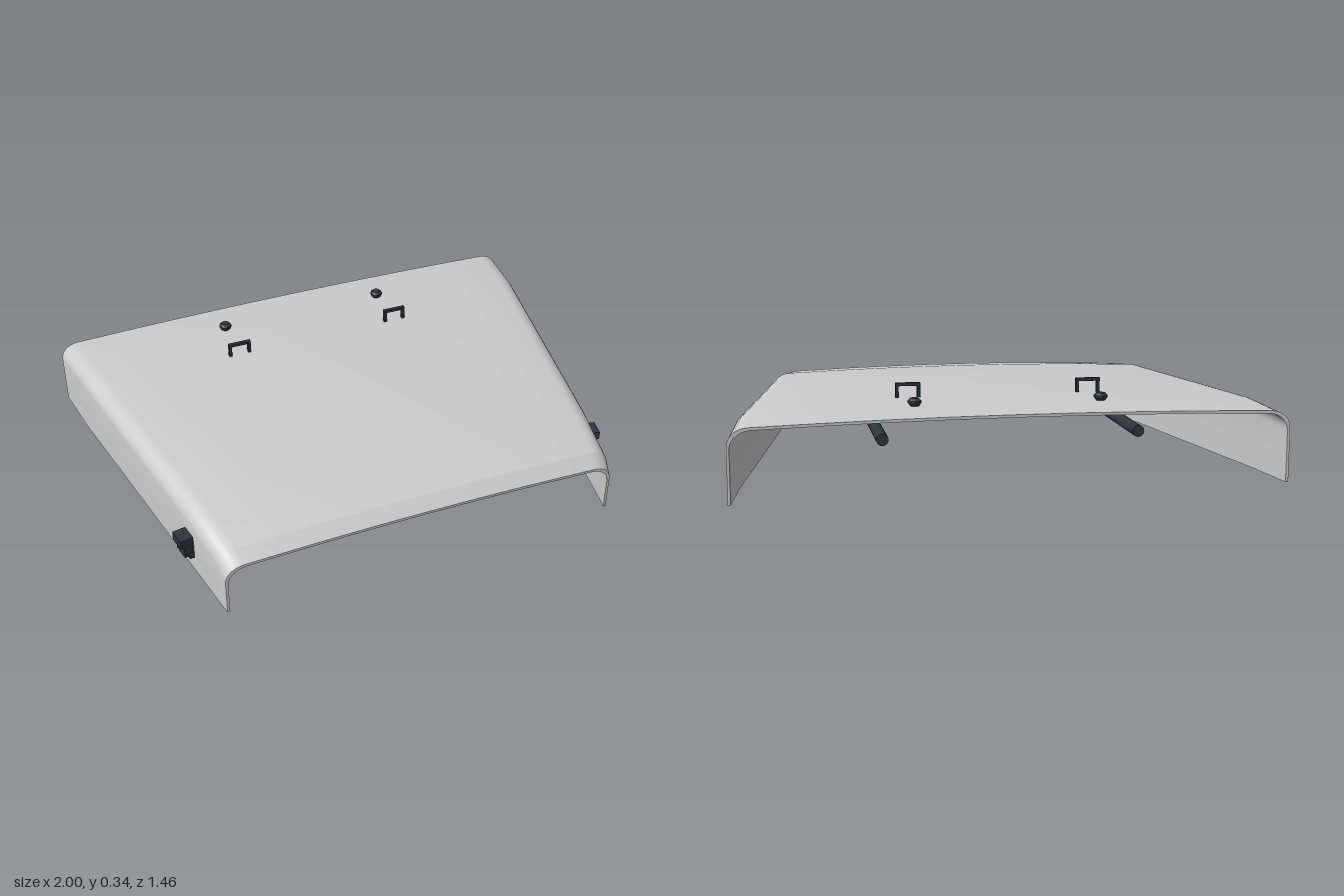
import * as THREE from 'three';
import { toCreasedNormals } from 'three/addons/utils/BufferGeometryUtils.js';

const shellMat = new THREE.MeshStandardMaterial({ color: 0xcccccc, side: THREE.DoubleSide });
const darkMat = new THREE.MeshStandardMaterial({ color: 0x2e363a });

// Stations front to back: [z, half width, crown height]
const STATIONS = [
  [0.73, 0.76, 0.218], [0.68, 0.77, 0.257], [0.43, 0.812, 0.286],
  [0, 0.885, 0.29], [-0.5, 0.97, 0.295], [-0.73, 1.0, 0.28],
];
const THICK = 0.01;

// Arch profile from the +x foot, over the roof, to the -x foot
function archProfile(w, crown) {
  const half = [[w, 0], [w, crown * 0.35]];
  const rx = 0.075, ry = 0.065, shoulder = crown - 0.015;
  for (let i = 0; i <= 7; i++) {
    const a = (i / 7) * (Math.PI / 2 - 0.05);
    half.push([w - rx + rx * Math.cos(a), shoulder - ry + ry * Math.sin(a)]);
  }
  for (const t of [0.75, 0.5, 0.25]) {
    half.push([(w - rx) * t, crown - 0.015 * t * t]);
  }
  const mirrored = half.map(([x, y]) => [-x, y]).reverse();
  return [...half, [0, crown], ...mirrored];
}

function shellGeometry() {
  const pos = [], idx = [];
  let n = 0;
  for (const [z, w, crown] of STATIONS) {
    const outer = archProfile(w, crown);
    const inner = archProfile(w - THICK, crown - THICK).reverse();
    n = outer.length;
    for (const [x, y] of [...outer, ...inner]) pos.push(x, y, z);
  }
  const loop = 2 * n, last = (STATIONS.length - 1) * loop;
  // Outer skin, inner skin and feet
  for (let i = 0; i < STATIONS.length - 1; i++) {
    for (let j = 0; j < loop; j++) {
      const k = (j + 1) % loop;
      const a = i * loop + j, b = i * loop + k, c = b + loop, d = a + loop;
      idx.push(a, d, c, a, c, b);
    }
  }
  // Front and back rims
  for (let j = 0; j < n - 1; j++) {
    const a = j, b = j + 1, c = loop - 2 - j, d = loop - 1 - j;
    idx.push(a, b, c, a, c, d);
    idx.push(last + a, last + c, last + b, last + a, last + d, last + c);
  }
  const g = new THREE.BufferGeometry();
  g.setAttribute('position', new THREE.Float32BufferAttribute(pos, 3));
  g.setIndex(idx);
  return toCreasedNormals(g, 0.5);
}

function add(parent, name, geometry, x = 0, y = 0, z = 0, mat = darkMat) {
  const m = new THREE.Mesh(geometry, mat);
  m.name = name;
  m.position.set(x, y, z);
  parent.add(m);
  return m;
}

// Square-section staple handle
function handleGeometry() {
  const w = 0.045, h = 0.06, t = 0.01;
  const s = new THREE.Shape([
    [-w, 0], [-w + t, 0], [-w + t, h - t], [w - t, h - t],
    [w - t, 0], [w, 0], [w, h], [-w, h],
  ].map(([x, y]) => new THREE.Vector2(x, y)));
  return new THREE.ExtrudeGeometry(s, { depth: 0.014, bevelEnabled: true, bevelSize: 0.001, bevelThickness: 0.001, bevelSegments: 1 });
}

// Latch with +x pointing out of the side wall
function makeLatch() {
  const g = new THREE.Group();
  add(g, 'latchPlate', new THREE.BoxGeometry(0.02, 0.097, 0.066), 0.008, 0, 0);
  add(g, 'latchHead', new THREE.BoxGeometry(0.05, 0.034, 0.066), 0.025, 0.031, 0);
  for (const s of [-1, 1]) {
    add(g, 'latchCheek', new THREE.BoxGeometry(0.034, 0.05, 0.01), 0.02, -0.008, s * 0.028);
  }
  const lever = add(g, 'latchLever', new THREE.BoxGeometry(0.012, 0.055, 0.042), 0.027, -0.01, 0);
  lever.rotation.z = 0.15;
  return g;
}

export function createModel() {
  const model = new THREE.Group();
  model.name = 'hoodPanel';
  add(model, 'shell', shellGeometry(), 0, 0, 0, shellMat);

  const handle = handleGeometry();
  const knob = toCreasedNormals(new THREE.LatheGeometry([
    [0, -0.014], [0.017, -0.014], [0.025, -0.003], [0.025, 0.005], [0.016, 0.014], [0, 0.014],
  ].map(([x, y]) => new THREE.Vector2(x, y)), 10), 0.5);
  const rod = new THREE.CylinderGeometry(0.022, 0.022, 1.17, 16).rotateX(Math.PI / 2);

  for (const s of [1, -1]) {
    const side = s > 0 ? 'left' : 'right';
    add(model, side + 'Handle', handle, s * 0.34, 0.284, -0.372);
    add(model, side + 'Knob', knob, s * 0.34, 0.306, -0.557);
    add(model, side + 'UnderRod', rod, s * 0.463, 0.187, -0.045);

    // Latch follows the taper of the wall
    const latch = makeLatch();
    latch.name = side + 'Latch';
    latch.position.set(s * 0.808, 0.114, 0.455);
    latch.rotation.y = s > 0 ? -0.17 : Math.PI + 0.17;
    model.add(latch);
  }
  return model;
}
